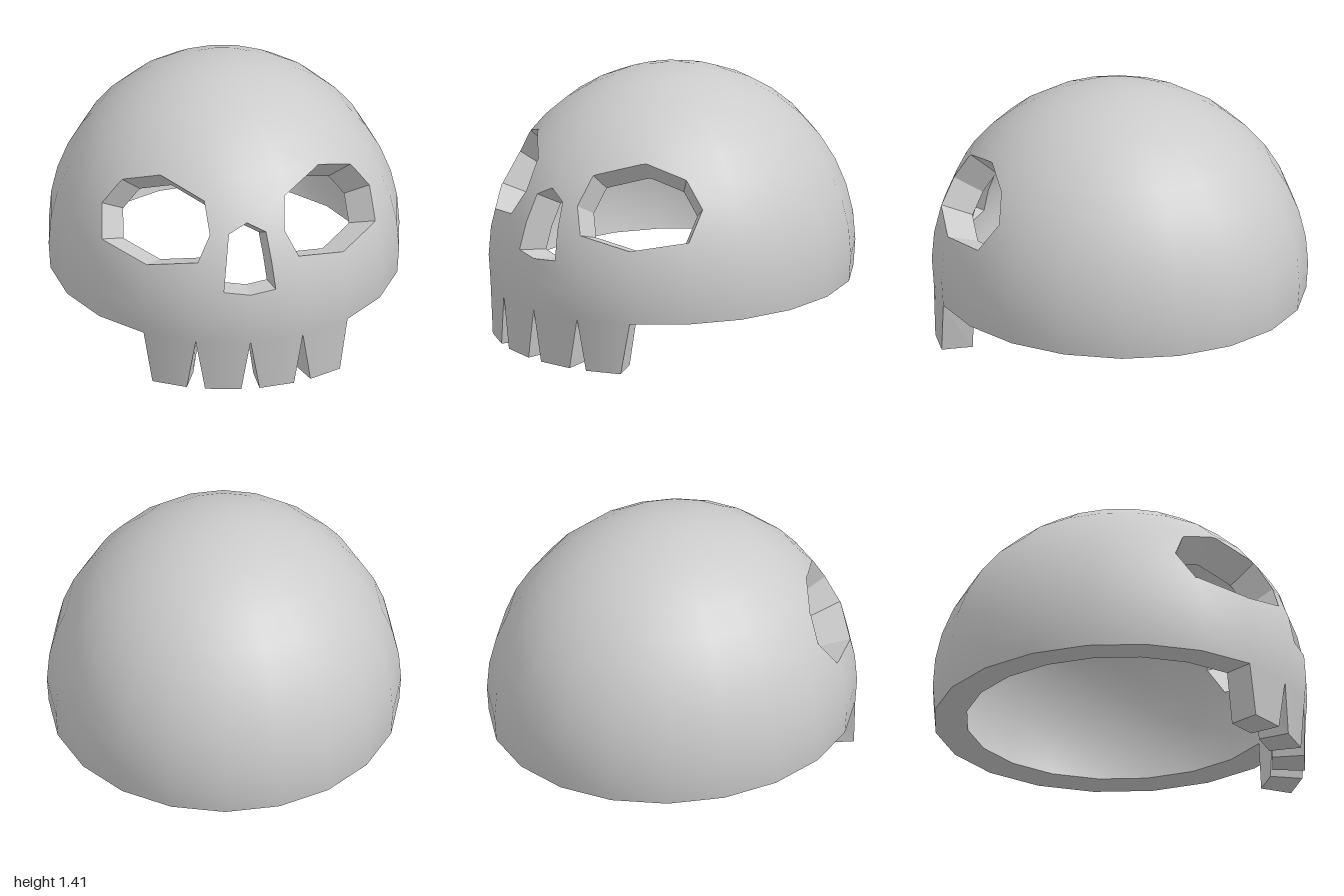
import * as THREE from 'three';

const V = (x, y, z) => new THREE.Vector3(x, y, z);
const A = 0.935, B = 0.99, C = 1, CY = 0.42; // ellipsoid radii and centre height
const RIM = -0.14;                           // rim height relative to the centre
const K = 0.825;                             // inner shell scale
const SEG = 20, RINGS = 11;

// Points below are relative to the ellipsoid centre
const normalAt = p => V(p.x / A ** 2, Math.max(p.y, RIM) / B ** 2, p.z / C ** 2).normalize();
const inwardAt = p => normalAt(p).negate();
const onSurface = ([x, y]) => V(x, y - CY, Math.sqrt(1 - (x / A) ** 2 - ((y - CY) / B) ** 2) * C);
const inner = p => {
  const q = p.clone().multiplyScalar(K);
  if (p.y < RIM + 1e-4) q.y = p.y; // rim and teeth shrink horizontally only
  return q;
};
const flip = poly => [...poly].reverse();

// Makes a mesh from convex polygons; smooth if a normal rule is given, else flat
function polyMesh(name, polys, normalRule) {
  const pos = [], nor = [];
  for (const p of polys) {
    for (let i = 1; i < p.length - 1; i++) {
      const tri = [p[0], p[i], p[i + 1]];
      const flat = tri[1].clone().sub(tri[0]).cross(tri[2].clone().sub(tri[0]));
      if (flat.length() < 1e-10) continue;
      flat.normalize();
      for (const v of tri) {
        pos.push(v.x, v.y + CY, v.z);
        nor.push(...(normalRule ? normalRule(v) : flat).toArray());
      }
    }
  }
  const g = new THREE.BufferGeometry();
  g.setAttribute('position', new THREE.Float32BufferAttribute(pos, 3));
  g.setAttribute('normal', new THREE.Float32BufferAttribute(nor, 3));
  const mesh = new THREE.Mesh(g, new THREE.MeshStandardMaterial({ color: 0xcccccc }));
  mesh.name = name;
  return mesh;
}

// Part of a convex polygon on the positive side of a plane through the centre
function clip(poly, n) {
  const out = [];
  poly.forEach((p, i) => {
    const q = poly[(i + 1) % poly.length], a = n.dot(p), b = n.dot(q);
    if (a >= 0) out.push(p);
    if (a * b < 0) out.push(p.clone().lerp(q, a / (a - b)));
  });
  return out.length > 2 ? out : [];
}

// Cuts a cone-shaped opening through the shell; returns remaining cells and walls
function cut(cells, outline) {
  const pts = outline.map(onSurface);
  const planes = pts.map((p, i) => p.clone().cross(pts[(i + 1) % pts.length]).normalize());
  const kept = [], walls = [];
  for (const cell of cells) {
    const hole = planes.reduce((poly, n) => clip(poly, n), cell);
    if (!hole.length) { kept.push(cell); continue; }
    let rest = cell;
    for (const n of planes) {
      const outside = clip(rest, n.clone().negate());
      if (outside.length) kept.push(outside);
      rest = clip(rest, n);
    }
    hole.forEach((p, i) => {
      const q = hole[(i + 1) % hole.length];
      if (planes.some(n => Math.abs(n.dot(p)) < 1e-6 && Math.abs(n.dot(q)) < 1e-6))
        walls.push([p, q, inner(q), inner(p)]);
    });
  }
  return { kept, walls };
}

export function createModel() {
  const group = new THREE.Group();

  // Dome grid, ending in a flat rim
  const point = (i, j) => {
    const th = i === RINGS ? Math.acos(RIM / B) : i * Math.PI / 20;
    const ph = j * 2 * Math.PI / SEG, s = Math.sin(th);
    return V(A * s * Math.sin(ph), B * Math.cos(th), C * s * Math.cos(ph));
  };
  let cells = [];
  for (let i = 0; i < RINGS; i++)
    for (let j = 0; j < SEG; j++)
      cells.push([point(i, j), point(i + 1, j), point(i + 1, j + 1), point(i, j + 1)]);

  // Eye sockets and nose opening, outlines counter-clockwise from the front
  const leftEye = [[0.61, 1.02], [0.425, 1.095], [0.215, 1.02], [0.2, 0.87],
    [0.27, 0.73], [0.525, 0.675], [0.73, 0.72], [0.72, 0.88]];
  const rightEye = flip(leftEye.map(([x, y]) => [-x, y]));
  const nose = [[0, 0.925], [-0.1, 0.875], [-0.14, 0.575], [0, 0.56], [0.14, 0.575], [0.1, 0.875]];
  const openings = { leftEyeSocket: leftEye, rightEyeSocket: rightEye, noseOpening: nose };
  for (const [name, outline] of Object.entries(openings)) {
    const { kept, walls } = cut(cells, outline);
    cells = kept;
    group.add(polyMesh(name, walls));
  }

  // Outer and inner skull surfaces
  group.add(polyMesh('cranium', cells, normalAt));
  group.add(polyMesh('craniumInside', cells.map(c => flip(c.map(inner))), inwardAt));

  // Flat rim underneath
  const rim = [];
  for (let j = 0; j < SEG; j++) {
    const a = point(RINGS, j), b = point(RINGS, j + 1);
    rim.push([inner(a), inner(b), b, a]);
  }
  group.add(polyMesh('rim', rim));

  // Four tapered teeth, one below each front facet
  const teeth = new THREE.Group();
  teeth.name = 'teeth';
  for (let j = -2; j < 2; j++) {
    const t1 = point(RINGS, j), t2 = point(RINGS, j + 1);
    const b1 = t1.clone().lerp(t2, 0.17).setY(-CY), b2 = t1.clone().lerp(t2, 0.83).setY(-CY);
    const [T1, T2, B1, B2] = [t1, t2, b1, b2].map(inner);
    const tooth = new THREE.Group();
    tooth.name = 'tooth';
    tooth.add(
      polyMesh('toothFront', [[t1, b1, b2, t2]], normalAt),
      polyMesh('toothBack', [[T2, B2, B1, T1]], inwardAt),
      polyMesh('toothSides', [[T1, B1, b1, t1], [t2, b2, B2, T2], [b1, B1, B2, b2]]));
    teeth.add(tooth);
  }
  group.add(teeth);
  return group;
}
